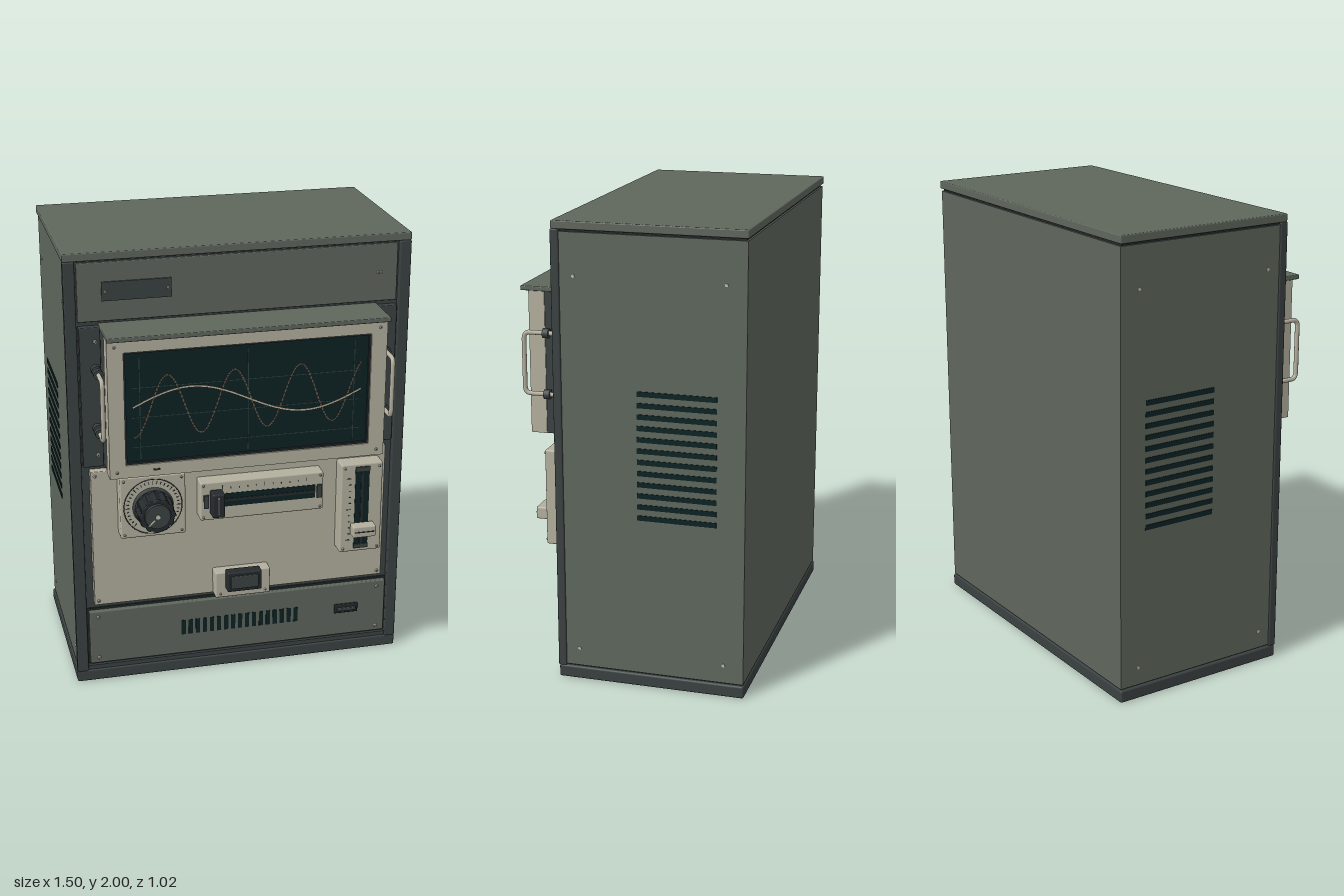
import * as THREE from 'three';
import { RoundedBoxGeometry } from 'three/addons/geometries/RoundedBoxGeometry.js';
import { mergeGeometries } from 'three/addons/utils/BufferGeometryUtils.js';

const mat = (name, color) => {
  const m = new THREE.MeshStandardMaterial({ color });
  m.name = name;
  return m;
};

export function createModel() {
  const root = new THREE.Group();
  root.name = 'instrumentCabinet';
  const green = mat('cabinetGreen', 0x5f675d);
  const dark = mat('frameGrey', 0x3b4142);
  const cream = mat('panelCream', 0xb4b09f);
  const glass = mat('screenTeal', 0x0c2224);
  const black = mat('knobBlack', 0x262b2d);
  const metal = mat('screwMetal', 0xc4c1b2);
  const grid = mat('gridTeal', 0x2f4442);
  const trace = mat('traceLight', 0xcdb79c);
  const traceDim = mat('traceBrown', 0x6f5a4a);

  const add = (name, geo, material, parent = root) => {
    const m = new THREE.Mesh(geo, material);
    m.name = name;
    parent.add(m);
    return m;
  };
  // Box given by its limits; r rounds the edges
  const boxGeo = (x0, x1, y0, y1, z0, z1, r = 0) => {
    const s = [x1 - x0, y1 - y0, z1 - z0];
    const g = r ? new RoundedBoxGeometry(...s, 2, r) : new THREE.BoxGeometry(...s);
    return g.translate((x0 + x1) / 2, (y0 + y1) / 2, (z0 + z1) / 2);
  };
  const box = (name, material, lim, r = 0) => add(name, boxGeo(...lim, r), material);
  const many = (name, material, list) => add(name, mergeGeometries(list), material);
  const rectPath = (p, x0, x1, y0, y1) => {
    p.moveTo(x0, y0); p.lineTo(x1, y0); p.lineTo(x1, y1); p.lineTo(x0, y1); p.closePath();
    return p;
  };
  // Rectangular frame with an opening
  const frame = (name, material, o, i, z0, z1) => {
    const s = rectPath(new THREE.Shape(), ...o);
    s.holes.push(rectPath(new THREE.Path(), ...i));
    return add(name, new THREE.ExtrudeGeometry(s, { depth: z1 - z0, bevelEnabled: false }).translate(0, 0, z0), material);
  };
  // Front-facing screw heads with a dark slot
  const screws = (pts, z, r = 0.008) => {
    many('screwHeads', metal, pts.map(([x, y]) =>
      new THREE.CylinderGeometry(r * 0.8, r, 0.006, 12).rotateX(Math.PI / 2).translate(x, y, z + 0.003)));
    many('screwSlots', black, pts.map(([x, y]) =>
      new THREE.BoxGeometry(r * 1.2, r * 0.3, 0.002).rotateZ(0.6).translate(x, y, z + 0.0065)));
  };
  const corners = (x0, x1, y0, y1) => [[x0, y0], [x1, y0], [x0, y1], [x1, y1]];

  // Cabinet shell
  box('cabinetBody', green, [-0.742, 0.742, 0.06, 1.955, -0.506, 0.282]);
  box('seam', black, [-0.735, 0.735, 0.05, 1.97, -0.498, 0.284]);
  box('base', dark, [-0.75, 0.75, 0, 0.055, -0.51, 0.312], 0.008);
  box('lid', green, [-0.75, 0.75, 1.965, 2, -0.51, 0.312], 0.005);
  box('innerFrame', dark, [-0.71, 0.71, 0.05, 1.966, 0.27, 0.292]);
  for (const s of [-1, 1]) {
    const stile = box('frontStile', dark, [-0.025, 0.025, 0.052, 1.966, 0.28, 0.316], 0.006);
    stile.position.x = s * 0.724;
    // Side louvres
    many('sideVents', glass, Array.from({ length: 12 }, (_, i) => {
      const y = 0.765 + i * 0.0488;
      return boxGeo(s * 0.742 - 0.003, s * 0.742 + 0.003, y - 0.011, y + 0.011, -0.385, -0.045);
    }));
    many('sideScrews', metal, corners(-0.42, 0.22, 0.14, 1.775).map(([z, y]) =>
      new THREE.CylinderGeometry(0.007, 0.007, 0.006, 10).rotateZ(Math.PI / 2).translate(s * 0.743, y, z)));
  }
  box('bottomRail', dark, [-0.7, 0.7, 0.055, 0.075, 0.28, 0.306]);

  // Upper blank panel with name plate
  box('upperPanel', green, [-0.692, 0.692, 1.702, 1.955, 0.28, 0.305], 0.004);
  box('namePlate', dark, [-0.59, -0.295, 1.79, 1.872, 0.304, 0.311]);
  screws([[-0.575, 1.83], [-0.31, 1.83]], 0.311, 0.006);
  screws([[0.605, 1.83], [0.62, 1.83]], 0.305, 0.006);

  // Display unit
  box('displayHousing', dark, [-0.598, 0.598, 1.055, 1.675, 0.29, 0.4]);
  frame('displayBezel', cream, [-0.602, 0.602, 1.055, 1.675], [-0.533, 0.533, 1.112, 1.614], 0.4, 0.47);
  frame('screenSurround', black, [-0.533, 0.533, 1.112, 1.614], [-0.525, 0.525, 1.12, 1.606], 0.4, 0.463);
  box('screen', glass, [-0.53, 0.53, 1.115, 1.61, 0.4, 0.452]);
  box('displayHood', green, [-0.605, 0.605, 1.672, 1.692, 0.29, 0.505], 0.004);
  screws(corners(-0.57, 0.57, 1.082, 1.64), 0.47, 0.007);
  many('indicatorMarks', black, [boxGeo(-0.415, -0.385, 1.08, 1.088, 0.469, 0.472)]);

  // Screen grid and wave traces
  const gridLines = [-0.465, 0, 0.465].map(x => boxGeo(x - 0.0015, x + 0.0015, 1.13, 1.585, 0.452, 0.453));
  for (const y of [1.185, 1.3175, 1.45])
    gridLines.push(boxGeo(-0.5, 0.5, y - 0.0015, y + 0.0015, 0.452, 0.453));
  many('screenGrid', grid, gridLines);
  const wave = (name, material, f, w, n, fill) => many(name, material, Array.from({ length: n }, (_, i) => {
    const x = -0.495 + 0.99 * i / n, x2 = x + 0.99 / n, dx = x2 - x, dy = f(x2) - f(x);
    return new THREE.BoxGeometry(Math.hypot(dx, dy) * fill, w, 0.002)
      .rotateZ(Math.atan2(dy, dx)).translate((x + x2) / 2, (f(x) + f(x2)) / 2, 0.4545);
  }));
  wave('fastTrace', traceDim, x => 1.365 + 0.135 * Math.cos(2 * Math.PI * (x + 0.347) / 0.287), 0.006, 150, 0.75);
  wave('slowTrace', trace, x => 1.365 + 0.075 * Math.sin(2 * Math.PI * (x + 0.495) / 0.99), 0.006, 90, 1.02);

  // Rack ears and handles
  for (const s of [-1, 1]) {
    const ear = box('rackEar', dark, [-0.045, 0.045, 1.055, 1.683, 0.28, 0.322], 0.004);
    ear.position.x = s * 0.647;
    screws([[s * 0.625, 1.62], [s * 0.625, 1.11]], 0.322, 0.009);
    const c = new THREE.CurvePath();
    const v = (y, z) => new THREE.Vector3(s * 0.626, y, z);
    c.add(new THREE.LineCurve3(v(1.235, 0.32), v(1.235, 0.46)));
    c.add(new THREE.QuadraticBezierCurve3(v(1.235, 0.46), v(1.235, 0.485), v(1.265, 0.485)));
    c.add(new THREE.LineCurve3(v(1.265, 0.485), v(1.47, 0.485)));
    c.add(new THREE.QuadraticBezierCurve3(v(1.47, 0.485), v(1.5, 0.485), v(1.5, 0.46)));
    c.add(new THREE.LineCurve3(v(1.5, 0.46), v(1.5, 0.32)));
    add('handle', new THREE.TubeGeometry(c, 60, 0.01, 10), cream);
    const collars = [];
    for (const y of [1.235, 1.5]) for (const z of [0.335, 0.385])
      collars.push(new THREE.CylinderGeometry(0.021, 0.021, 0.026, 16).rotateX(Math.PI / 2).translate(s * 0.626, y, z));
    many('handleCollars', dark, collars);
  }

  // Control panel
  box('controlPanel', cream, [-0.664, 0.664, 0.39, 1.034, 0.285, 0.328], 0.004);
  screws(corners(-0.645, 0.645, 0.41, 1.012), 0.328);

  // Rotary dial
  box('dialPlate', cream, [-0.55, -0.262, 0.735, 1.022, 0.32, 0.395], 0.008);
  screws(corners(-0.532, -0.28, 0.752, 1.004), 0.395, 0.006);
  const dial = new THREE.Group();
  dial.name = 'dial';
  dial.position.set(-0.406, 0.877, 0.395);
  root.add(dial);
  add('dialRing', new THREE.TorusGeometry(0.128, 0.002, 6, 48), black, dial);
  add('dialTicks', mergeGeometries(Array.from({ length: 31 }, (_, i) => {
    const long = i % 5 === 0 ? 0.018 : 0.01;
    return new THREE.BoxGeometry(0.003, long, 0.003).translate(0, 0.112, 0.001).rotateZ(2.36 - i * 4.72 / 30);
  })), black, dial);
  add('knobSkirt', new THREE.CylinderGeometry(0.084, 0.09, 0.02, 40).rotateX(Math.PI / 2).translate(0, 0, 0.01), dark, dial);
  const flute = new THREE.Shape(Array.from({ length: 72 }, (_, i) => {
    const a = i / 72 * Math.PI * 2, r = 0.071 + 0.004 * Math.cos(12 * a);
    return new THREE.Vector2(r * Math.cos(a), r * Math.sin(a));
  }));
  add('knob', new THREE.ExtrudeGeometry(flute, { depth: 0.075, bevelSize: 0.006, bevelThickness: 0.008, bevelSegments: 2 })
    .translate(0, 0, 0.02), black, dial);
  add('knobCap', new THREE.CylinderGeometry(0.055, 0.058, 0.008, 32).rotateX(Math.PI / 2).translate(0, 0, 0.107), dark, dial);
  add('knobCentre', new THREE.CylinderGeometry(0.01, 0.01, 0.004, 16).rotateX(Math.PI / 2).translate(0, 0, 0.113), metal, dial);
  add('knobPointer', new THREE.BoxGeometry(0.006, 0.04, 0.003).translate(0, 0.04, 0.111).rotateZ(2.36), metal, dial);

  // Horizontal slider
  box('sliderBox', cream, [-0.198, 0.358, 0.785, 0.965, 0.32, 0.398], 0.008);
  box('sliderSlot', glass, [-0.155, 0.32, 0.845, 0.907, 0.39, 0.4]);
  box('sliderRail', black, [-0.155, 0.32, 0.87, 0.882, 0.395, 0.403]);
  for (const x of [-0.172, 0.338]) box('sliderStop', dark, [x - 0.011, x + 0.011, 0.845, 0.907, 0.39, 0.406]);
  many('sliderTicks', black, Array.from({ length: 11 }, (_, i) => {
    const x = -0.1 + i * 0.038;
    return boxGeo(x - 0.0015, x + 0.0015, 0.928, i % 5 ? 0.936 : 0.945, 0.397, 0.4);
  }));
  screws(corners(-0.183, 0.343, 0.8, 0.95), 0.398, 0.006);
  box('sliderGrip', black, [-0.157, -0.101, 0.82, 0.932, 0.4, 0.46], 0.008);
  box('sliderGripLine', metal, [-0.131, -0.127, 0.835, 0.918, 0.457, 0.462]);

  // Vertical slider
  box('faderBox', cream, [0.438, 0.63, 0.56, 0.988, 0.32, 0.403], 0.008);
  box('faderSlot', glass, [0.503, 0.568, 0.578, 0.974, 0.395, 0.405]);
  box('faderRail', black, [0.53, 0.541, 0.59, 0.96, 0.4, 0.408]);
  for (const y of [0.588, 0.964]) box('faderStop', dark, [0.503, 0.568, y - 0.01, y + 0.01, 0.395, 0.41]);
  many('faderTicks', black, Array.from({ length: 11 }, (_, i) => {
    const y = 0.62 + i * 0.03;
    return boxGeo(i % 5 ? 0.475 : 0.467, 0.485, y - 0.0015, y + 0.0015, 0.402, 0.405);
  }));
  screws(corners(0.455, 0.614, 0.577, 0.97), 0.403, 0.006);
  box('faderGrip', cream, [0.481, 0.588, 0.655, 0.71, 0.412, 0.465], 0.008);
  box('faderGripLine', black, [0.49, 0.58, 0.68, 0.685, 0.461, 0.467]);
  box('faderStem', black, [0.522, 0.549, 0.668, 0.697, 0.4, 0.415]);

  // Push button
  box('buttonBox', cream, [-0.128, 0.122, 0.392, 0.515, 0.32, 0.388], 0.006);
  box('buttonSurround', black, [-0.083, 0.073, 0.436, 0.53, 0.38, 0.43], 0.006);
  box('buttonCap', dark, [-0.068, 0.058, 0.452, 0.514, 0.425, 0.437], 0.004);
  screws([[-0.105, 0.41], [0.1, 0.41]], 0.388, 0.005);

  // Lower vent panel
  frame('lowerGap', black, [-0.698, 0.698, 0.085, 0.362], [-0.68, 0.68, 0.1, 0.345], 0.29, 0.3);
  box('lowerPanel', green, [-0.69, 0.69, 0.093, 0.353, 0.285, 0.322], 0.005);
  many('lowerVents', glass, Array.from({ length: 17 }, (_, i) => {
    const x = -0.262 + i * 0.0328;
    return boxGeo(x - 0.01, x + 0.01, 0.19, 0.262, 0.32, 0.324);
  }));
  box('latchPlate', black, [0.447, 0.558, 0.21, 0.254, 0.32, 0.332], 0.004);
  box('latch', dark, [0.458, 0.547, 0.225, 0.24, 0.33, 0.345], 0.004);
  screws(corners(-0.65, 0.65, 0.12, 0.325), 0.322, 0.009);

  return root;
}
